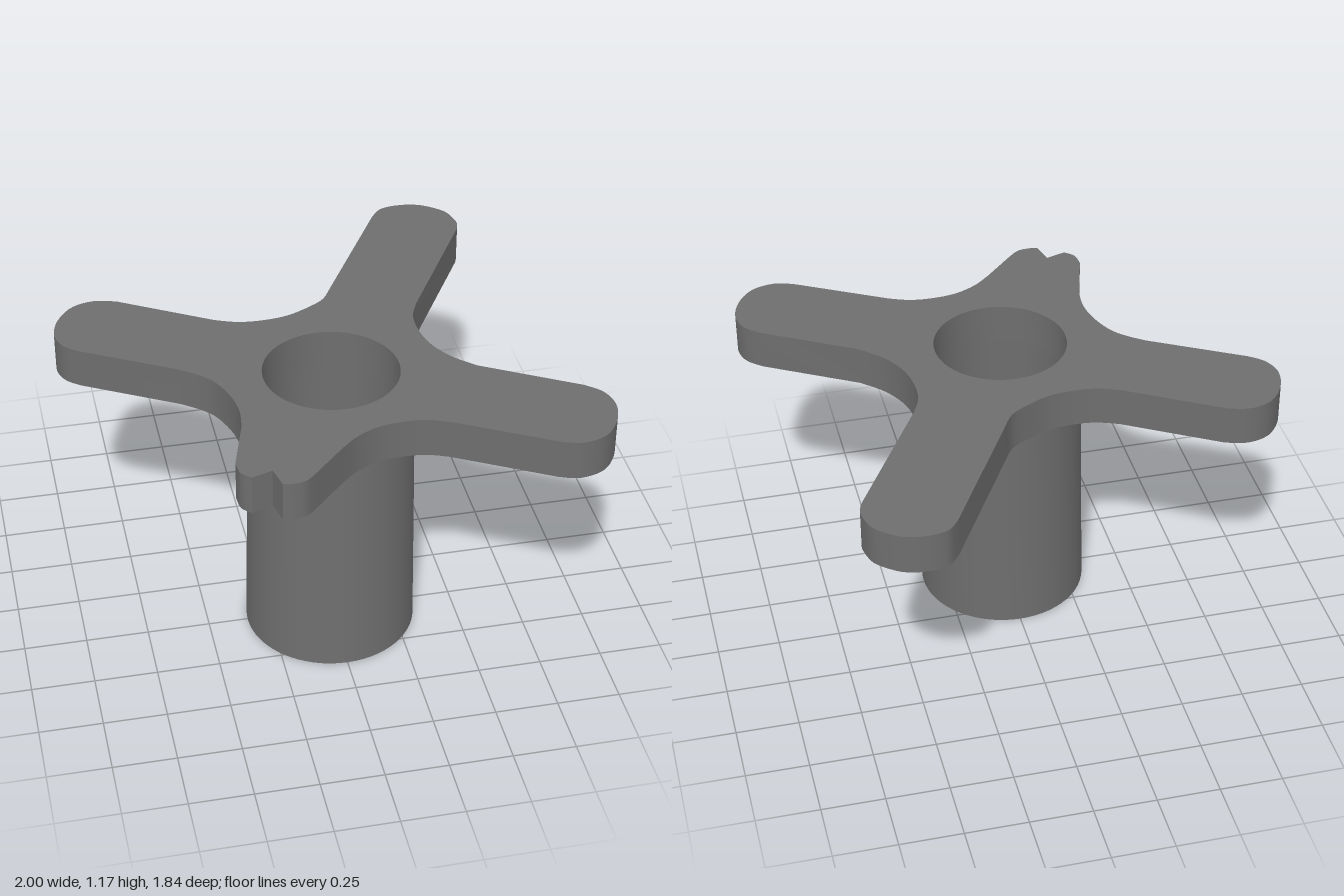
import * as THREE from 'three';
import { toCreasedNormals } from 'three/addons/utils/BufferGeometryUtils.js';

const material = new THREE.MeshStandardMaterial({ color: 0x6e6e6e });
const STEM_TOP = 1.006, PLATE_TOP = 1.166;
const BORE = { x: 0.006, z: 0.236, r: 0.265 };

// Each run is a smooth curve in (x, z); straight edges join one run to the next.
const outlineRuns = [
  // back arm tip
  [[0.415, -0.85], [0.455, -0.9], [0.5, -0.918], [0.55, -0.922], [0.6, -0.916], [0.655, -0.893], [0.725, -0.83], [0.75, -0.75], [0.748, -0.71], [0.735, -0.675]],
  // fillet between back and left arms
  [[0.435, -0.155], [0.402, -0.07], [0.398, 0.03], [0.42, 0.135], [0.475, 0.235], [0.56, 0.32]],
  // left arm tip
  [[0.92, 0.53], [0.98, 0.59], [1, 0.68], [0.97, 0.78], [0.905, 0.86], [0.81, 0.888], [0.73, 0.865]],
  // fillet between left arm and broken stub
  [[0.37, 0.662], [0.29, 0.632], [0.2, 0.624], [0.1, 0.637], [0.01, 0.68], [-0.06, 0.74]],
  // broken stub with its notch
  [[-0.19, 0.875], [-0.23, 0.907], [-0.28, 0.915], [-0.315, 0.908]],
  [[-0.335, 0.822]],
  [[-0.415, 0.848], [-0.45, 0.812], [-0.458, 0.75]],
  // fillet between stub and right arm
  [[-0.395, 0.53], [-0.385, 0.43], [-0.4, 0.33], [-0.44, 0.23], [-0.49, 0.17], [-0.56, 0.115]],
  // right arm tip
  [[-0.92, -0.09], [-0.975, -0.14], [-1, -0.22], [-0.975, -0.32], [-0.91, -0.405], [-0.82, -0.435], [-0.73, -0.415]],
  // fillet between right and back arms
  [[-0.37, -0.2], [-0.28, -0.167], [-0.18, -0.16], [-0.08, -0.175], [0.02, -0.222], [0.08, -0.265], [0.12, -0.33]],
];

function makePlate() {
  const shape = new THREE.Shape();
  outlineRuns.forEach((run, i) => {
    const [first, ...rest] = run.map(([x, z]) => new THREE.Vector2(x, -z));
    if (i === 0) shape.moveTo(first.x, first.y);
    else shape.lineTo(first.x, first.y);
    if (rest.length) shape.splineThru(rest);
  });
  shape.closePath();
  // the outline runs clockwise, so the hole runs the other way
  const circle = new THREE.EllipseCurve(BORE.x, -BORE.z, BORE.r, BORE.r, 0, Math.PI * 2, false);
  shape.holes.push(new THREE.Path(circle.getPoints(64)));
  const geometry = new THREE.ExtrudeGeometry(shape, {
    depth: PLATE_TOP - STEM_TOP, bevelEnabled: false, curveSegments: 4,
  });
  geometry.rotateX(-Math.PI / 2).translate(0, STEM_TOP, 0);
  return toCreasedNormals(geometry, 0.6);
}

// Hollow stem: both walls widen a little and lean forward towards the foot
function makeStem() {
  const profile = [[BORE.r, STEM_TOP], [0.272, 0], [0.34, 0], [0.323, STEM_TOP]]
    .map(([r, y]) => new THREE.Vector2(r, y));
  const geometry = new THREE.LatheGeometry(profile, 64);
  const p = geometry.attributes.position;
  for (let i = 0; i < p.count; i++) {
    const outer = Math.hypot(p.getX(i), p.getZ(i)) > 0.3;
    const t = p.getY(i) / STEM_TOP;
    p.setX(i, p.getX(i) + THREE.MathUtils.lerp(-0.001, BORE.x, t));
    p.setZ(i, p.getZ(i) + THREE.MathUtils.lerp(outer ? 0.256 : 0.25, BORE.z, t));
  }
  return toCreasedNormals(geometry, 0.6);
}

export function createModel() {
  const group = new THREE.Group();
  group.name = 'handwheelKnob';
  const parts = { armPlate: makePlate(), hollowStem: makeStem() };
  for (const [name, geometry] of Object.entries(parts)) {
    const mesh = new THREE.Mesh(geometry, material);
    mesh.name = name;
    group.add(mesh);
  }
  return group;
}
